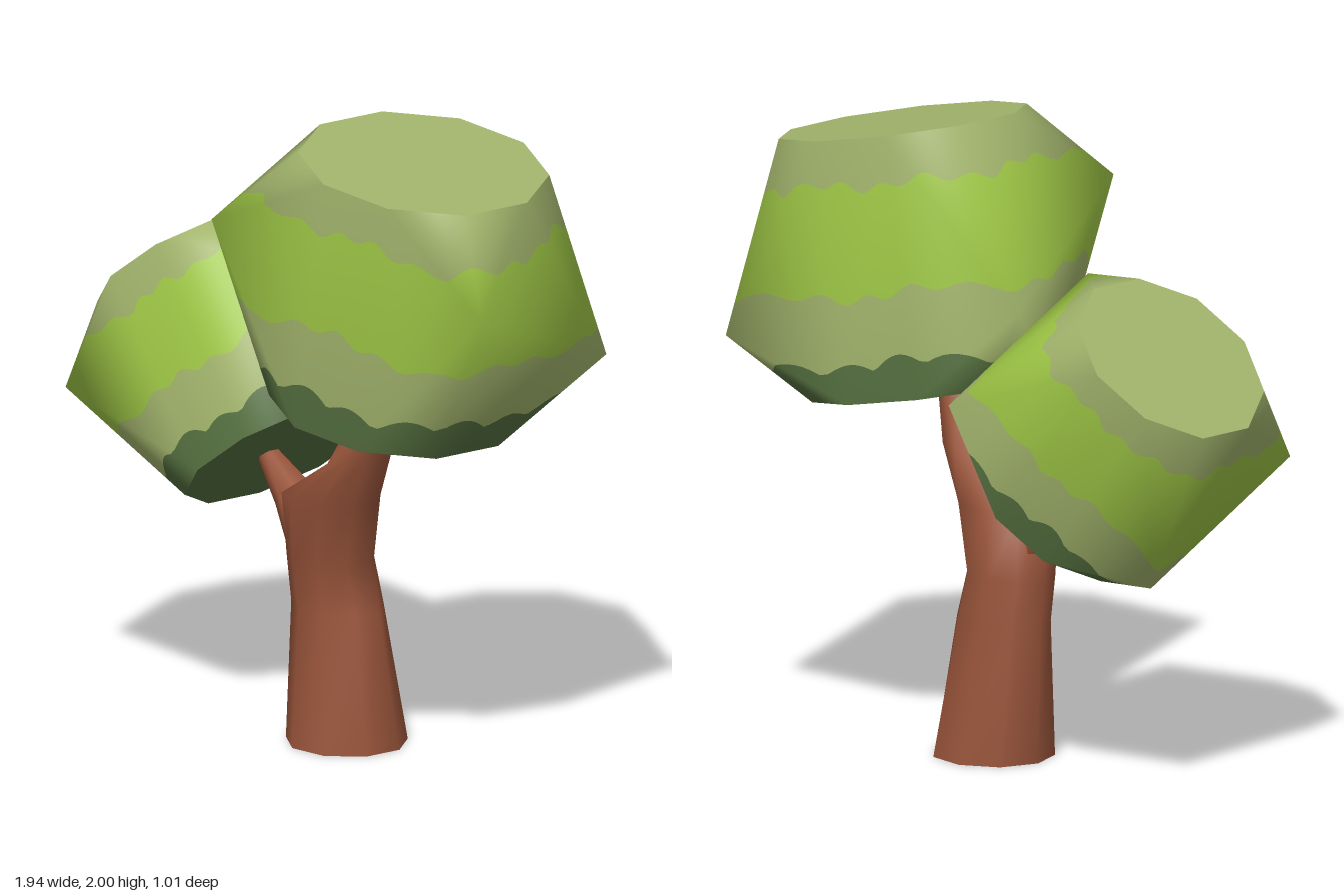
import * as THREE from 'three';
import { mergeVertices } from 'three/addons/utils/BufferGeometryUtils.js';
import { ConvexGeometry } from 'three/addons/geometries/ConvexGeometry.js';

const material = (name, color) => Object.assign(new THREE.MeshStandardMaterial({ color }), { name });

// Crown dimensions in its own frame: y runs along the crown's axis
const R = 0.39, H = 0.823;
const SIDES = 10;

// Wavy borders between the colour bands, as heights around the axis
const borders = [
  a => 0.1 + 0.035 * Math.abs(Math.sin(a * 7 + 0.4)) + 0.012 * Math.sin(a * 5),
  a => 0.335 + 0.014 * Math.sin(a * 16) + 0.016 * Math.sin(a * 5 + 1),
  a => 0.675 + 0.014 * Math.sin(a * 18 + 2) + 0.012 * Math.sin(a * 7),
];

// Keep the part of a polygon where sign * (height - border) >= 0
function clip(poly, border, sign) {
  const f = v => sign * (v[1] - border(Math.atan2(v[2], v[0])));
  const out = [];
  poly.forEach((v, i) => {
    const w = poly[(i + 1) % poly.length], fv = f(v), fw = f(w);
    if (fv >= 0) out.push(v);
    if ((fv >= 0) !== (fw >= 0)) out.push(v.map((c, k) => c + (w[k] - c) * fv / (fv - fw)));
  });
  return out;
}

// Side faces of the crown: two decagons around a skewed rectangle, with smooth normals
function crownSides() {
  const points = [
    [0.6, 0.569, 0.195], [-0.376, 0.569, 0.505],
    [-0.6, 0.243, -0.195], [0.376, 0.243, -0.505],
  ].map(p => new THREE.Vector3(...p));
  for (let i = 0; i < SIDES; i++) {
    const a = i / SIDES * Math.PI * 2;
    for (const y of [0, H]) points.push(new THREE.Vector3(R * Math.sin(a), y, R * Math.cos(a)));
  }
  const hull = new ConvexGeometry(points).getAttribute('position');
  const side = [];
  for (let i = 0; i < hull.count; i += 3) {
    const ys = [0, 1, 2].map(k => hull.getY(i + k));
    if (Math.max(...ys) - Math.min(...ys) < 1e-4 && (ys[0] < 1e-4 || ys[0] > H - 1e-4)) continue;
    for (let k = 0; k < 3; k++) side.push(hull.getX(i + k), hull.getY(i + k), hull.getZ(i + k));
  }
  let geo = new THREE.BufferGeometry();
  geo.setAttribute('position', new THREE.Float32BufferAttribute(side, 3));
  geo = mergeVertices(geo);
  geo.computeVertexNormals();
  geo = geo.toNonIndexed();
  const p = geo.getAttribute('position'), n = geo.getAttribute('normal'), tris = [];
  for (let i = 0; i < p.count; i += 3) {
    tris.push([0, 1, 2].map(k => [
      p.getX(i + k), p.getY(i + k), p.getZ(i + k), n.getX(i + k), n.getY(i + k), n.getZ(i + k)]));
  }
  return tris;
}

// Divide a triangle evenly so the wavy borders can be cut through it
function subdivide([a, b, c], n) {
  const at = (i, j) => a.map((v, k) => v + (b[k] - v) * i / n + (c[k] - v) * j / n);
  const out = [];
  for (let i = 0; i < n; i++) for (let j = 0; j < n - i; j++) {
    out.push([at(i, j), at(i + 1, j), at(i, j + 1)]);
    if (i + j < n - 1) out.push([at(i + 1, j), at(i + 1, j + 1), at(i, j + 1)]);
  }
  return out;
}

// One geometry for each colour band, from the bottom up
function crownBands() {
  const tris = crownSides().flatMap(t => subdivide(t, 14));
  return [0, 1, 2, 3].map(band => {
    const pos = [], nor = [];
    for (const t of tris) {
      let poly = t;
      if (band > 0) poly = clip(poly, borders[band - 1], 1);
      if (band < 3 && poly.length) poly = clip(poly, borders[band], -1);
      for (let i = 1; i + 1 < poly.length; i++) {
        for (const v of [poly[0], poly[i], poly[i + 1]]) {
          pos.push(v[0], v[1], v[2]);
          nor.push(v[3], v[4], v[5]);
        }
      }
    }
    const geo = new THREE.BufferGeometry();
    geo.setAttribute('position', new THREE.Float32BufferAttribute(pos, 3));
    geo.setAttribute('normal', new THREE.Float32BufferAttribute(nor, 3));
    return geo;
  });
}

// Loft through elliptical rings [x, y, z, radius, depth radius, tilt]
function loft(rings, sides = 9) {
  const pos = [], index = [];
  rings.forEach(([x, y, z, r, rz, tilt], i) => {
    for (let j = 0; j < sides; j++) {
      const a = (j + 0.5) / sides * Math.PI * 2, c = Math.cos(a) * r;
      pos.push(x + c * Math.cos(tilt), y + c * Math.sin(tilt), z + Math.sin(a) * rz);
      if (i === rings.length - 1) continue;
      const k = (j + 1) % sides, lo = i * sides, hi = lo + sides;
      index.push(lo + j, hi + j, lo + k, hi + j, hi + k, lo + k);
    }
  });
  // Closed tip
  const last = (rings.length - 1) * sides, tip = pos.length / 3;
  pos.push(...rings[rings.length - 1].slice(0, 3));
  for (let j = 0; j < sides; j++) index.push(last + j, tip, last + (j + 1) % sides);
  const geo = new THREE.BufferGeometry();
  geo.setAttribute('position', new THREE.Float32BufferAttribute(pos, 3));
  geo.setIndex(index);
  geo.computeVertexNormals();
  return geo;
}

export function createModel() {
  const bark = material('bark brown', 0x98543a);
  const sage = material('sage green', 0xa2b46c);
  const bright = material('bright green', 0x9fc746);
  const dark = material('dark green', 0x557040);

  const model = new THREE.Group();
  model.name = 'tree';
  const add = (parent, name, geo, mat) => {
    const mesh = new THREE.Mesh(geo, mat);
    mesh.name = name;
    parent.add(mesh);
    return mesh;
  };

  // Trunk bending into the main branch
  add(model, 'trunk', loft([
    [0.03, 0, -0.005, 0.195, 0.188, 0],
    [-0.005, 0.43, 0.002, 0.16, 0.135, 0],
    [-0.025, 0.58, 0.015, 0.148, 0.13, 0],
    [0.02, 0.79, 0.045, 0.178, 0.14, 0.03],
    [0.17, 0.945, 0.055, 0.098, 0.105, 0.3],
    [0.235, 1.1, 0.045, 0.055, 0.06, -0.1],
    [0.25, 1.17, 0.04, 0.04, 0.04, -0.2],
  ]), bark);
  const base = add(model, 'trunkBase', new THREE.CircleGeometry(0.188, 9, Math.PI / 9), bark);
  base.rotation.x = Math.PI / 2;
  base.position.set(0.03, 0.001, -0.005);

  // Short side branch
  add(model, 'sideBranch', loft([
    [-0.08, 0.68, 0.04, 0.1, 0.1, 0.9],
    [-0.17, 0.755, 0.045, 0.06, 0.07, 0.9],
    [-0.32, 0.875, 0.05, 0.028, 0.03, 0.9],
  ], 7), bark);

  // Two leaf crowns of the same shape
  const bands = crownBands();
  const cap = new THREE.CircleGeometry(R, SIDES, Math.PI / 2);
  const addCrown = (name, x, y, tilt, scale) => {
    const crown = new THREE.Group();
    crown.name = name;
    ['lowerLeaves', 'shadedLeaves', 'middleLeaves', 'upperLeaves'].forEach((part, i) =>
      add(crown, part, bands[i], [dark, sage, bright, sage][i]));
    const top = add(crown, 'crownTop', cap, sage);
    top.rotation.x = -Math.PI / 2;
    top.position.y = H;
    add(crown, 'crownUnderside', cap, dark).rotation.x = Math.PI / 2;
    crown.position.set(x, y, 0);
    crown.rotation.z = tilt;
    crown.scale.setScalar(scale);
    model.add(crown);
  };
  addCrown('largeCrown', 0.28, 1.125, -0.177, 1);
  addCrown('smallCrown', -0.295, 0.85, 0.698, 0.83);

  return model;
}
